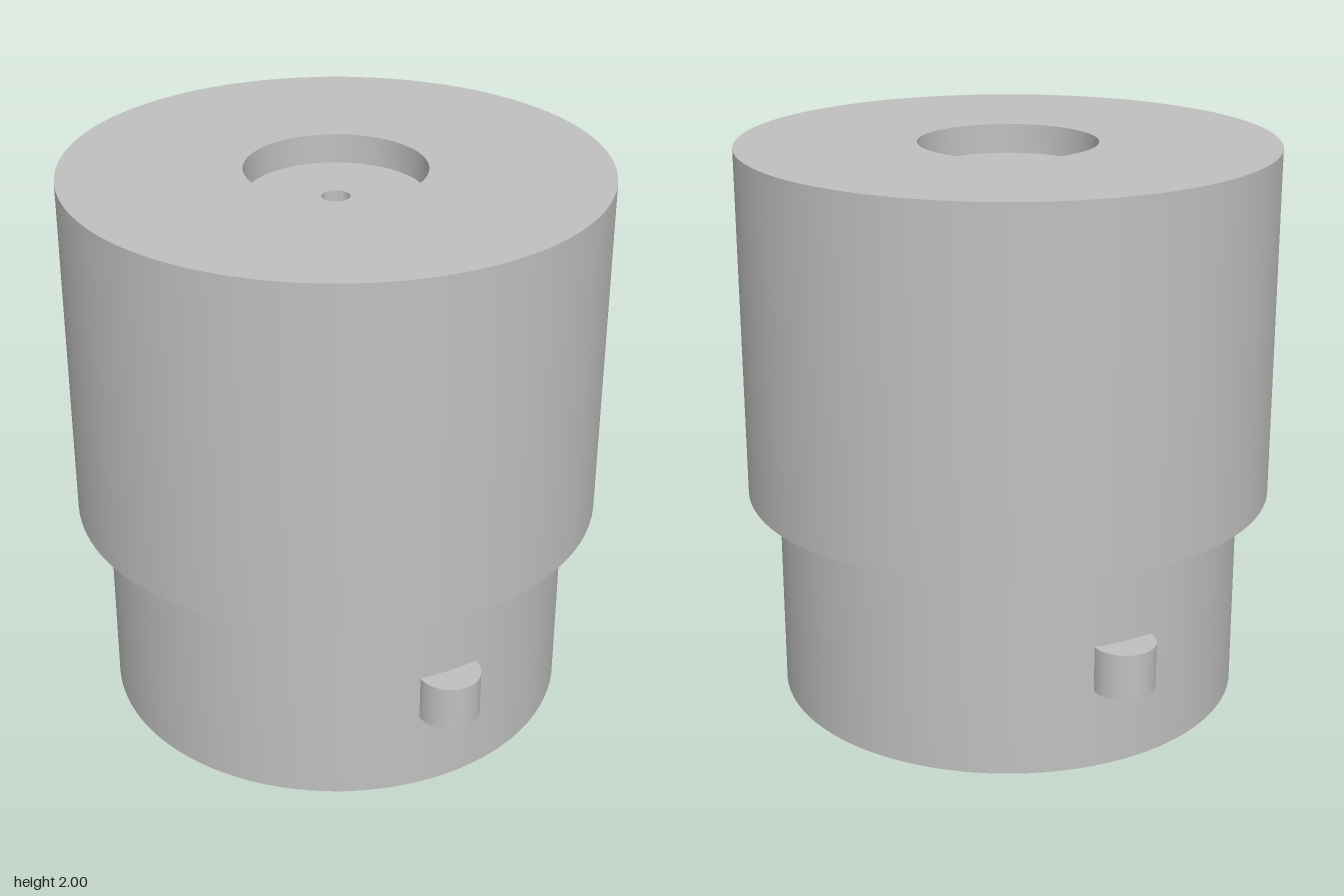
import * as THREE from 'three';
import { toCreasedNormals } from 'three/addons/utils/BufferGeometryUtils.js';

const SEGMENTS = 96;

export function createModel() {
  const model = new THREE.Group();
  model.name = 'steppedBushing';
  const grey = new THREE.MeshStandardMaterial({ color: 0xc0c0c0 });
  grey.name = 'machined grey';

  // Closed cross-section: bore, stepped outside, top recess and centre hole
  const profile = [
    [0.05, 0.6], [0.545, 0.6], [0.545, 0],
    [0.835, 0], [0.835, 0.75], [0.945, 0.75], [0.945, 2],
    [0.315, 2], [0.315, 1.895], [0.05, 1.895], [0.05, 0.6],
  ].map(([r, y]) => new THREE.Vector2(r, y));
  const body = new THREE.Mesh(
    toCreasedNormals(new THREE.LatheGeometry(profile, SEGMENTS), Math.PI / 6), grey);
  body.name = 'body';
  model.add(body);

  // Two opposite locking pegs, half sunk into the lower neck
  const pegGeometry = new THREE.CylinderGeometry(0.11, 0.11, 0.165, 48);
  for (const side of [1, -1]) {
    const peg = new THREE.Mesh(pegGeometry, grey);
    peg.name = side > 0 ? 'frontPeg' : 'backPeg';
    peg.position.set(0.591 * side, 0.3675, 0.591 * side);
    model.add(peg);
  }
  return model;
}
